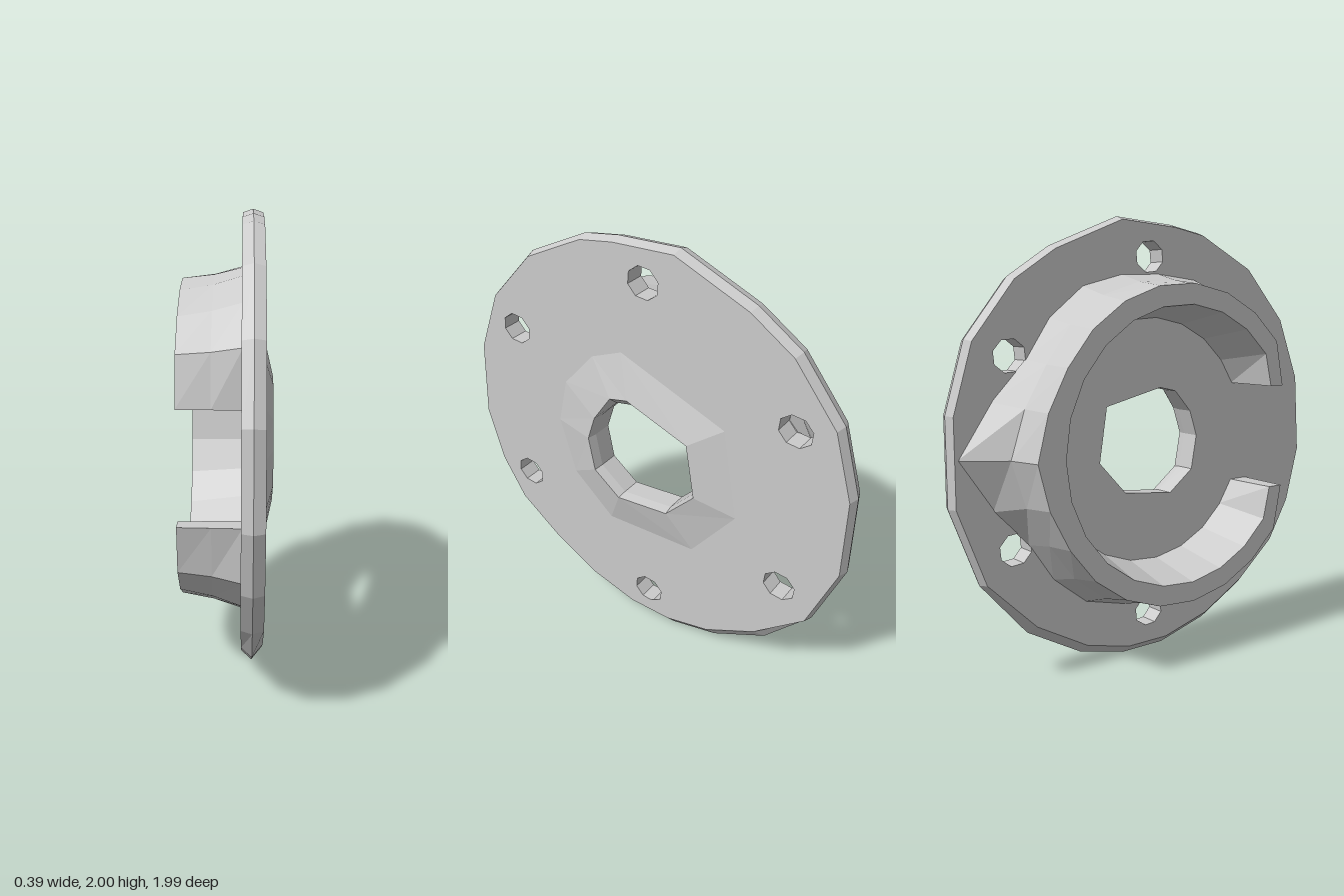
import * as THREE from 'three';

// Local 2D frame of the disc: u points to -z, v points up from the disc centre.
const RIM = [[0.15, 1], [-0.15, 0.98], [-0.32, 0.95], [-0.62, 0.8], [-0.85, 0.55], [-0.97, 0.25], [-0.995, -0.13],
  [-0.92, -0.4], [-0.8, -0.6], [-0.6, -0.8], [-0.36, -0.93], [-0.1, -1], [0.13, -1], [0.37, -0.94],
  [0.64, -0.79], [0.86, -0.54], [0.99, -0.2], [0.99, 0.18], [0.9, 0.48], [0.7, 0.73], [0.5, 0.86]];
const BORE = [[0.24, 0.17], [-0.06, 0.24], [-0.15, 0.22], [-0.24, 0.12], [-0.28, 0], [-0.25, -0.16],
  [-0.12, -0.26], [0.14, -0.23], [0.28, -0.08]];
const BOLTS = [[0, 0.83], [-0.72, 0.41], [0.72, 0.41], [-0.72, -0.4], [0.71, -0.4], [0.01, -0.81]];

const material = new THREE.MeshStandardMaterial({ color: 0xcccccc, flatShading: true, side: THREE.DoubleSide });
const place = (u, v, x) => new THREE.Vector3(x, 1 + v, -u);

function part(name, geometry) {
  const mesh = new THREE.Mesh(geometry, material);
  mesh.name = name;
  return mesh;
}

// Skin rows of profile points; either closed around or capped at both ends
function loft(rows, closed) {
  const n = rows[0].length, pos = [], idx = [];
  rows.forEach(row => row.forEach(p => pos.push(p.x, p.y, p.z)));
  const spans = closed ? rows.length : rows.length - 1;
  for (let i = 0; i < spans; i++) {
    const k = (i + 1) % rows.length;
    for (let j = 0; j < n; j++) {
      const m = (j + 1) % n;
      idx.push(i * n + j, k * n + j, i * n + m, k * n + j, k * n + m, i * n + m);
    }
  }
  if (!closed) {
    const last = (rows.length - 1) * n;
    for (let j = 1; j < n - 1; j++) idx.push(0, j, j + 1, last, last + j + 1, last + j);
  }
  const g = new THREE.BufferGeometry();
  g.setAttribute('position', new THREE.Float32BufferAttribute(pos, 3));
  g.setIndex(idx);
  const flat = g.toNonIndexed();
  flat.computeVertexNormals();
  return flat;
}

// Flat disc with bore and six bolt holes
function discGeometry() {
  const toPoints = list => list.map(([u, v]) => new THREE.Vector2(u, v));
  const shape = new THREE.Shape(toPoints(RIM));
  shape.holes.push(new THREE.Path(toPoints(BORE)));
  for (const [u, v] of BOLTS) {
    const hole = [];
    for (let i = 0; i < 8; i++) {
      const a = i * Math.PI / 4 + 0.3;
      hole.push([u + 0.078 * Math.cos(a), v + 0.072 * Math.sin(a)]);
    }
    shape.holes.push(new THREE.Path(toPoints(hole)));
  }
  const g = new THREE.ExtrudeGeometry(shape, { depth: 0.09, steps: 2, bevelEnabled: false });
  // Chamfer the rim at the back and front, more strongly along the bottom front
  const p = g.attributes.position;
  for (let i = 0; i < p.count; i++) {
    const u = p.getX(i), v = p.getY(i), w = p.getZ(i);
    if (Math.hypot(u, v) < 0.93) continue;
    const s = w < 0.01 ? (v < -0.75 ? 0.96 : 0.985) : w < 0.08 ? 1 : v < -0.75 ? 0.945 : 0.985;
    p.setXY(i, u * s, v * s);
  }
  g.rotateY(Math.PI / 2);
  g.translate(0.06, 1, 0);
  g.computeVertexNormals();
  return g;
}

// Low conical boss around the bore
function bossGeometry() {
  const rows = BORE.map(([u, v]) => {
    const s = 0.5 / Math.hypot(u, v);
    const lift = v > 0.2 ? 1.18 : 1.03;
    return [place(u * 1.03, v * lift, 0.195), place(u, v, 0.15), place(u * s, v * s, 0.149)];
  });
  return loft(rows, true);
}

// Thin raised collar on the back, open at one side, flared to the rim opposite the gap
function collarGeometry() {
  const rows = [], steps = 20, gap = 0.24, end = Math.PI - 0.41;
  for (let i = 0; i <= steps; i++) {
    const a = -end + 2 * end * i / steps;
    const tip = i === 0 || i === steps;
    const flare = Math.max(0, 1 - Math.abs(a) / 0.45);
    const between = (1 - Math.cos(6 * (a - Math.PI / 6))) / 2; // 0 beside bolts, 1 between them
    const top = tip ? 0.64 : 0.71 + 0.04 * flare;
    const mid = tip ? 0.645 : 0.725 + 0.015 * between + 0.05 * flare;
    const base = tip ? 0.65 : 0.755 + 0.03 * between + 0.18 * flare;
    const profile = [[0.56, 0.065], [tip ? 0.57 : 0.62, -0.2], [top, -0.2], [mid, -0.06], [base, 0.065]];
    rows.push(profile.map(([r, x]) => {
      // Both ends are cut level, parallel to each other
      const b = tip ? Math.sign(a) * (Math.PI - Math.asin(gap / r)) : a;
      return place(r * Math.cos(b), r * Math.sin(b), x);
    }));
  }
  return loft(rows, false);
}

export function createModel() {
  const group = new THREE.Group();
  group.name = 'flangedDisc';
  group.add(part('disc', discGeometry()), part('boss', bossGeometry()), part('collar', collarGeometry()));
  return group;
}
